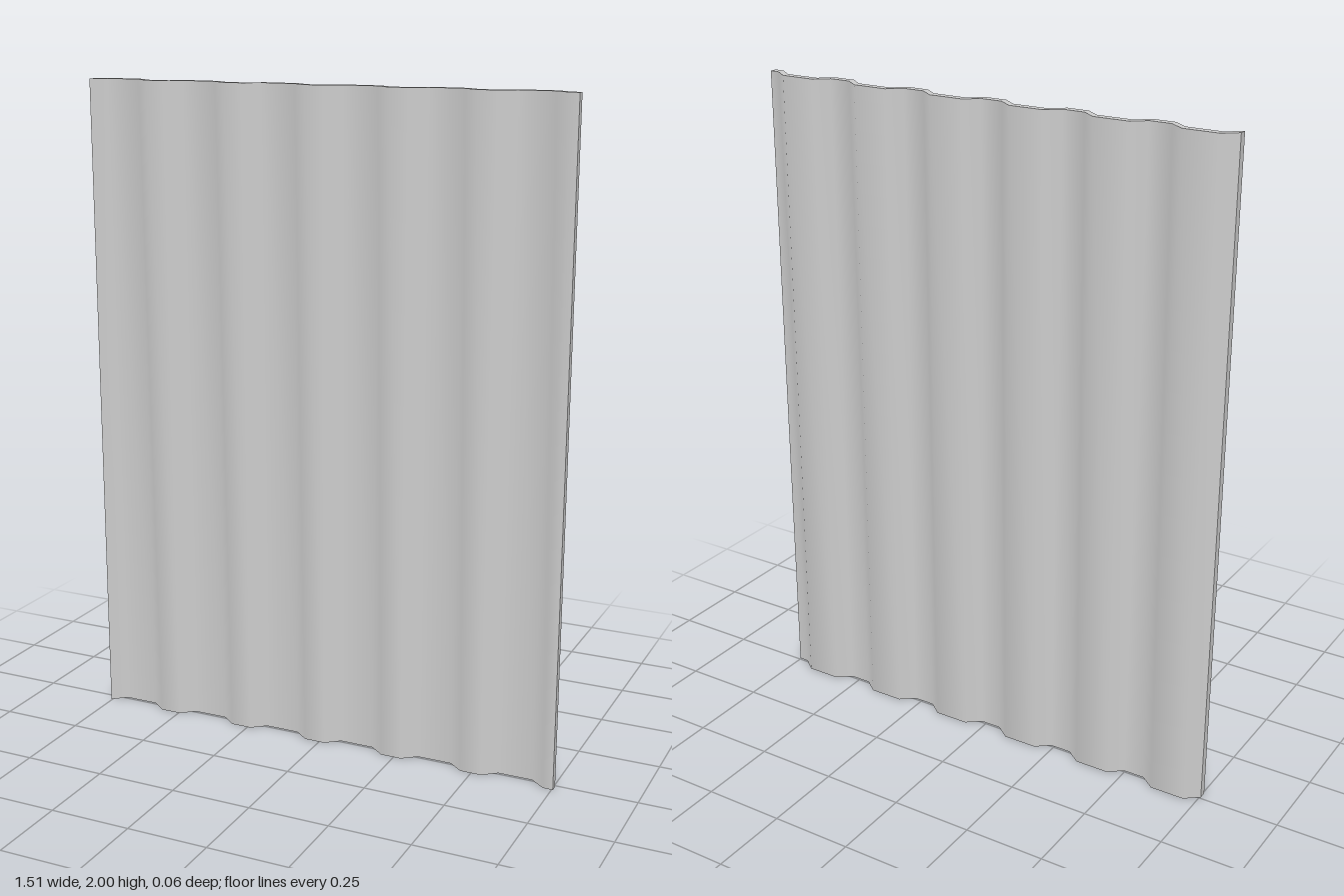
import * as THREE from 'three';
import { toCreasedNormals } from 'three/addons/utils/BufferGeometryUtils.js';

const HEIGHT = 2, THICKNESS = 0.023;
const RIBS = 6, PITCH = 0.257, FIRST_RIB = -0.658;
const CREST_HALF = 0.053, FOOT_HALF = 0.096; // half widths of a rib at its crest and foot
const BACK_Z = -0.029, VALLEY_Z = 0.005;     // rear surface at crest and valley

export function createModel() {
  const group = new THREE.Group();

  // Rear outline of the corrugation, left to right, as [x, z]
  const outline = [];
  for (let i = 0; i < RIBS; i++) {
    const x = FIRST_RIB + i * PITCH;
    outline.push(
      [x - FOOT_HALF, VALLEY_Z], [x - CREST_HALF, BACK_Z],
      [x + CREST_HALF, BACK_Z], [x + FOOT_HALF, VALLEY_Z],
    );
  }
  // Short lip at the last edge
  outline.push([0.754, VALLEY_Z + 0.002]);

  // Closed section: rear outline, then the same line offset by the thickness
  const front = outline.map(([x, z]) => [x, Math.min(z + THICKNESS, 0.029)]).reverse();
  const section = new THREE.Shape(
    [...outline, ...front].map(([x, z]) => new THREE.Vector2(x, -z)),
  );

  // Extrude upward; folds stay smooth, sheet edges stay sharp
  const extruded = new THREE.ExtrudeGeometry(section, { depth: HEIGHT, bevelEnabled: false });
  extruded.rotateX(-Math.PI / 2);
  const sheet = new THREE.Mesh(
    toCreasedNormals(extruded, THREE.MathUtils.degToRad(45)),
    new THREE.MeshStandardMaterial({ color: 0xcccccc }),
  );
  sheet.name = 'corrugatedSheet';
  group.add(sheet);
  return group;
}
